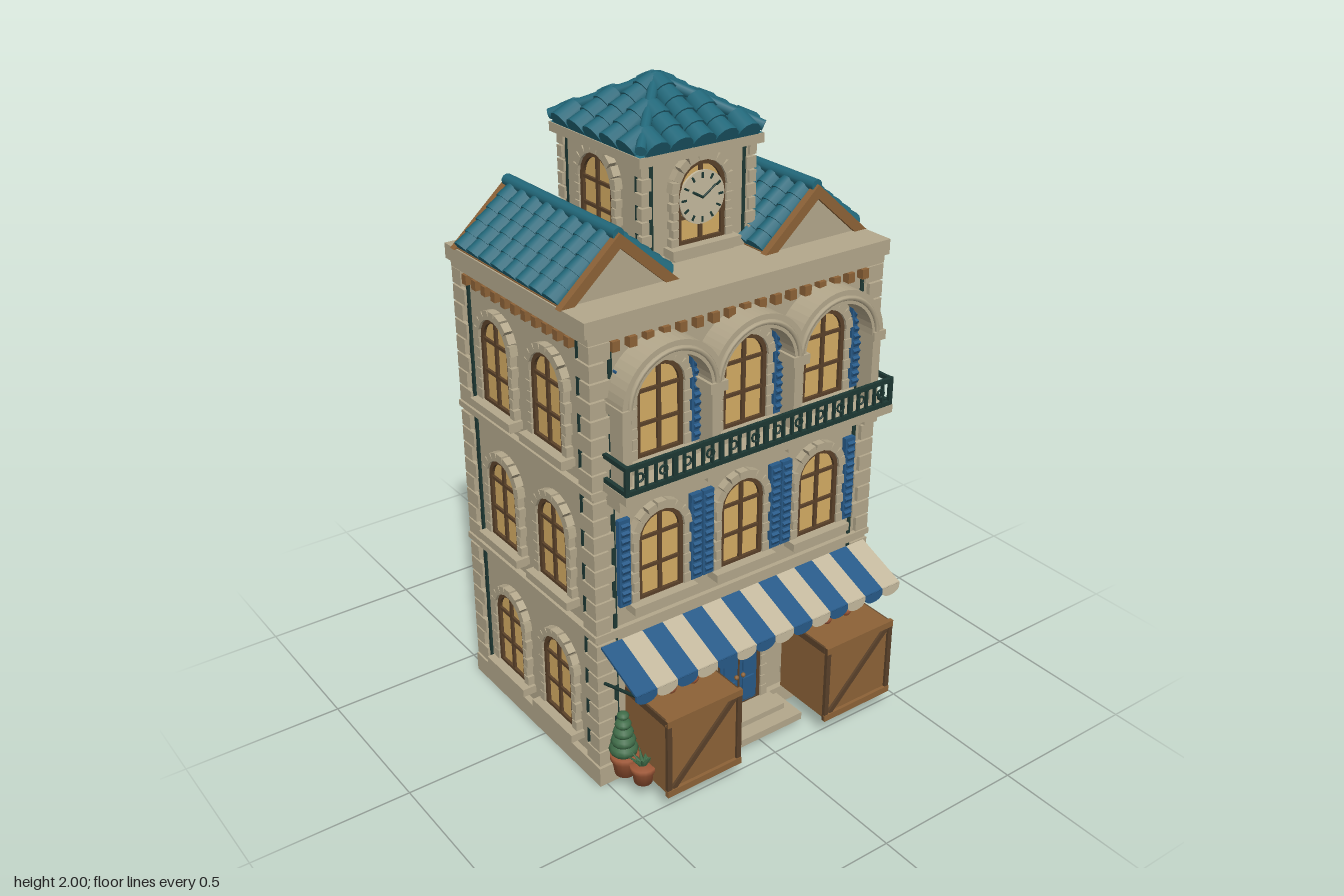
import * as THREE from 'three';

const mat = (name, color, side = THREE.FrontSide) => new THREE.MeshStandardMaterial({ name, color, side });
const M = {
  stone: mat('stone', 0xb3a78b), cream: mat('cream canvas', 0xc4b99e), teal: mat('teal tile', 0x22687a),
  wood: mat('warm wood', 0x8c6237), dark: mat('dark wood', 0x5a4129), glass: mat('lit glass', 0xd4ac63),
  blue: mat('blue paint', 0x275a88), iron: mat('dark green iron', 0x1d3833, THREE.DoubleSide),
  clay: mat('terracotta', 0x9a5535), leaf: mat('leaf green', 0x3f6c48),
};
const V = (x, y, z) => new THREE.Vector3(x, y, z);
const unitBox = new THREE.BoxGeometry(1, 1, 1);

function add(parent, name, geo, material, x = 0, y = 0, z = 0) {
  const m = new THREE.Mesh(geo, material);
  m.name = name;
  m.position.set(x, y, z);
  parent.add(m);
  return m;
}
function box(parent, name, material, w, h, d, x, y, z) {
  const m = add(parent, name, unitBox, material, x, y, z);
  m.scale.set(w, h, d);
  return m;
}
function sub(parent, name, x = 0, y = 0, z = 0, ry = 0) {
  const g = new THREE.Group();
  g.name = name;
  g.position.set(x, y, z);
  g.rotation.y = ry;
  parent.add(g);
  return g;
}
// Round bar between two points; r1 is the radius at b
function rod(parent, name, material, a, b, r0, r1 = r0, seg = 10) {
  const d = b.clone().sub(a);
  const m = add(parent, name, new THREE.CylinderGeometry(r1, r0, d.length(), seg), material);
  m.position.copy(a).addScaledVector(d, 0.5);
  m.quaternion.setFromUnitVectors(V(0, 1, 0), d.normalize());
  return m;
}
const extrude = (shape, depth) => new THREE.ExtrudeGeometry(shape, { depth, bevelEnabled: false, curveSegments: 10 });

function archPath(P, hw, s, y0 = 0) {
  const p = new P();
  p.moveTo(-hw, y0); p.lineTo(hw, y0); p.lineTo(hw, s);
  p.absarc(0, s, hw, 0, Math.PI, false);
  p.lineTo(-hw, y0);
  return p;
}
// Stone surround, glass and dark frame shared by windows and doors
function archOpening(g, hw, s) {
  add(g, 'glass', extrude(archPath(THREE.Shape, hw, s), 0.006), M.glass);
  const ring = archPath(THREE.Shape, hw + 0.004, s);
  ring.holes.push(archPath(THREE.Path, hw - 0.01, s, 0.01));
  add(g, 'frame', extrude(ring, 0.016), M.dark);
  for (let i = 0; i < 9; i++) {
    const a = (i + 0.5) * Math.PI / 9, r = hw + 0.016;
    box(g, 'archStone', M.stone, 0.026, 0.03, 0.05, r * Math.cos(a), s + r * Math.sin(a), 0).rotation.z = a;
  }
  for (const k of [-1, 1]) for (let i = 0; i < 6; i++) {
    const w = i % 2 ? 0.018 : 0.025;
    box(g, 'jambStone', M.stone, w, s / 6 - 0.003, 0.045, k * (hw + 0.003 + w / 2), (i + 0.5) * s / 6, 0);
  }
}
function archWindow(parent, x, y, hw = 0.076, s = 0.2, sillW = 0.225) {
  const g = sub(parent, 'window', x, y, 0);
  archOpening(g, hw, s);
  box(g, 'mullion', M.dark, 0.012, s + hw - 0.01, 0.014, 0, (s + hw) / 2, 0.007);
  for (const t of [0.5, 1]) box(g, 'glazingBar', M.dark, hw * 2 - 0.01, 0.01, 0.014, 0, s * t, 0.007);
  box(g, 'sill', M.stone, sillW, 0.026, 0.07, 0, -0.013, 0.012);
  box(g, 'sillApron', M.stone, sillW - 0.03, 0.014, 0.05, 0, -0.032, 0.008);
  return g;
}
function archDoor(parent, x, y) {
  const g = sub(parent, 'door', x, y, 0), hw = 0.083, s = 0.235;
  archOpening(g, hw, s);
  for (const k of [-1, 1]) {
    box(g, 'doorLeaf', M.blue, 0.07, 0.22, 0.016, k * 0.037, 0.115, 0.008);
    for (const py of [0.06, 0.165]) box(g, 'doorPanel', M.blue, 0.045, 0.075, 0.008, k * 0.037, py, 0.018);
    add(g, 'doorKnob', new THREE.SphereGeometry(0.008, 8, 6), M.wood, k * 0.013, 0.115, 0.024);
    rod(g, 'fanBar', M.blue, V(0, s, 0.01), V(k * 0.055, s + 0.055, 0.01), 0.005);
  }
  box(g, 'doorSeam', M.dark, 0.006, 0.225, 0.02, 0, 0.115, 0.008);
  box(g, 'transom', M.blue, 0.15, 0.014, 0.02, 0, s - 0.004, 0.008);
  rod(g, 'fanBar', M.blue, V(0, s, 0.01), V(0, s + 0.075, 0.01), 0.005);
}
function shutter(parent, x, y) {
  const g = sub(parent, 'shutter', x, y, 0.012);
  box(g, 'shutterBoard', M.blue, 0.038, 0.285, 0.016, 0, 0.1425, 0);
  for (let i = 0; i < 11; i++) box(g, 'louvre', M.blue, 0.026, 0.013, 0.012, 0, 0.02 + i * 0.0245, 0.009).rotation.x = 0.5;
}
// Overlapping barrel tiles from eave up to a higher point
function tileRun(parent, a, b, n, r) {
  for (let i = 0; i < n; i++)
    rod(parent, 'roofTile', M.teal, a.clone().lerp(b, i / n), a.clone().lerp(b, (i + 1) / n), r, r * 0.86, 12);
}
// Alternating corner stones with thin iron strips beside them
function quoins(parent, cx, cz, sx, sz, y0, y1, n, L, S) {
  const g = sub(parent, 'cornerStones'), h = (y1 - y0) / n;
  for (let i = 0; i < n; i++) {
    const wx = i % 2 ? L : S, wz = i % 2 ? S : L;
    box(g, 'quoin', M.stone, wx, h - 0.006, wz, cx - sx * wx / 2, y0 + (i + 0.5) * h, cz - sz * wz / 2);
  }
  box(g, 'cornerStrip', M.iron, 0.012, y1 - y0, 0.02, cx - sx * (L + 0.004), (y0 + y1) / 2, cz - sz * 0.018);
  box(g, 'cornerStrip', M.iron, 0.02, y1 - y0, 0.012, cx - sx * 0.018, (y0 + y1) / 2, cz - sz * (L + 0.004));
}
function slab(parent, name, material, x, z0, z1, y0, y1) {
  return box(parent, name, material, 2 * x, y1 - y0, z1 - z0, 0, (y0 + y1) / 2, (z0 + z1) / 2);
}
const FLOORS = [0.13, 0.605, 1.065], COLS = [-0.295, 0, 0.295];

function buildFacades(root) {
  const body = sub(root, 'building');
  slab(body, 'walls', M.stone, 0.505, -0.415, 0.295, 0, 1.48);
  slab(body, 'plinth', M.stone, 0.525, -0.425, 0.315, 0, 0.065);
  for (const y of [0.5, 0.97]) {
    slab(body, 'floorBand', M.stone, 0.525, -0.428, 0.31, y + 0.012, y + 0.032);
    slab(body, 'floorBand', M.stone, 0.515, -0.422, 0.304, y, y + 0.012);
  }
  slab(body, 'lowerCornice', M.stone, 0.522, -0.424, 0.308, 1.44, 1.468);
  slab(body, 'cornice', M.stone, 0.535, -0.43, 0.315, 1.465, 1.512);
  for (const sx of [-1, 1]) for (const [cz, sz] of [[0.308, 1], [-0.425, -1]])
    for (const [a, b] of [[0.065, 0.5], [0.532, 0.97], [1.002, 1.44]]) quoins(body, sx * 0.52, cz, sx, sz, a, b, 8, 0.068, 0.05);
  // Small wooden brackets below the cornice
  for (let i = 0; i < 17; i++) {
    const x = -0.44 + i * 0.055;
    box(body, 'bracket', M.wood, 0.024, 0.03, 0.03, x, 1.425, 0.305);
    box(body, 'bracket', M.wood, 0.024, 0.03, 0.03, x, 1.425, -0.423);
    if (i < 11) for (const s of [-1, 1]) box(body, 'bracket', M.wood, 0.03, 0.03, 0.024, s * 0.515, 1.425, -0.335 + i * 0.055);
  }
  const front = sub(root, 'frontFacade', 0, 0, 0.295), back = sub(root, 'backFacade', 0, 0, -0.415, Math.PI);
  FLOORS.forEach((y, f) => COLS.forEach(x => {
    if (f > 0 || x !== 0) archWindow(front, x, y);
    if (f > 0 || x !== 0.295) archWindow(back, x, y, 0.076, 0.2, 0.2);
    if (f > 0) for (const k of [-1, 1]) shutter(front, x + k * 0.126, y);
  }));
  archDoor(front, 0, 0.065);
  archDoor(back, 0.27, 0.065);
  for (const s of [-1, 1]) {
    const side = sub(root, s > 0 ? 'leftFacade' : 'rightFacade', s * 0.505, 0, 0, s * Math.PI / 2);
    for (const y of FLOORS) for (const z of [0.09, -0.19]) archWindow(side, -s * z, y);
  }
  box(root, 'frontStep', M.stone, 0.31, 0.025, 0.14, 0, 0.033, 0.37);
  box(root, 'frontStep', M.stone, 0.25, 0.02, 0.08, 0, 0.055, 0.35);
  box(root, 'backStep', M.stone, 0.265, 0.025, 0.13, -0.27, 0.03, -0.475);
  box(root, 'backStep', M.stone, 0.22, 0.02, 0.08, -0.27, 0.052, -0.45);
}
function buildBalcony(root) {
  const g = sub(root, 'balcony');
  // Three-arched loggia
  const s = new THREE.Shape(), R = 0.17, r = 0.128, y = 1.255, cut = Math.acos(0.1475 / R);
  s.moveTo(-0.465, y);
  COLS.forEach((c, i) => s.absarc(c, y, R, i ? Math.PI - cut : Math.PI, i < 2 ? cut : 0, true));
  for (const c of [...COLS].reverse()) { s.lineTo(c + r, y); s.absarc(c, y, r, 0, Math.PI, false); }
  s.closePath();
  add(g, 'archedHood', extrude(s, 0.085), M.stone, 0, 0, 0.295);
  for (const c of COLS) add(g, 'archMoulding', new THREE.TorusGeometry(0.146, 0.008, 6, 20, Math.PI), M.stone, c, y, 0.38);
  for (const x of [-0.4475, -0.1475, 0.1475, 0.4475]) {
    box(g, 'capital', M.stone, x * x > 0.1 ? 0.045 : 0.06, 0.03, 0.09, x, 1.25, 0.342);
    box(g, 'pier', M.stone, 0.03, 0.25, 0.06, x, 1.125, 0.345);
    box(g, 'corbel', M.stone, 0.05, 0.05, 0.07, x, 0.98, 0.335);
  }
  box(g, 'balconyFloor', M.stone, 0.97, 0.026, 0.12, 0, 1.015, 0.36);
  // Iron railing
  for (const ry of [1.035, 1.11]) {
    box(g, 'rail', M.iron, 0.965, 0.014, 0.012, 0, ry, 0.413);
    for (const k of [-1, 1]) box(g, 'rail', M.iron, 0.012, 0.014, 0.11, k * 0.477, ry, 0.36);
  }
  for (let i = 0; i < 31; i++) box(g, 'baluster', M.iron, i % 5 ? 0.007 : 0.014, 0.09, 0.01, -0.477 + i * 0.0318, 1.073, 0.413);
  for (let i = 0; i < 12; i++) add(g, 'scroll', new THREE.TorusGeometry(0.013, 0.0035, 5, 10), M.iron, -0.437 + i * 0.0795, 1.075, 0.415);
}
function buildAwning(root) {
  const g = sub(root, 'awning'), w = 1.01 / 14;
  for (let i = 0; i < 14; i++) {
    const x = -0.505 + (i + 0.5) * w, m = i % 2 ? M.cream : M.blue;
    box(g, 'awningStripe', m, w, 0.008, 0.19, x, 0.455, 0.395).rotation.x = 0.38;
    const s = new THREE.Shape();
    s.moveTo(-w / 2, 0.425); s.lineTo(-w / 2, 0.405);
    s.absellipse(0, 0.41, w / 2, 0.022, Math.PI, 2 * Math.PI, false);
    s.lineTo(w / 2, 0.425);
    add(g, 'awningScallop', extrude(s, 0.007), m, x, 0, 0.477);
  }
  for (const k of [-1, 1]) {
    rod(g, 'awningBrace', M.iron, V(k * 0.495, 0.36, 0.3), V(k * 0.495, 0.415, 0.475), 0.005);
    const l = sub(g, 'lantern', k * 0.15, 0.38, 0.35);
    box(l, 'lanternGlass', M.glass, 0.03, 0.045, 0.03, 0, 0, 0);
    for (const y of [-0.026, 0.026]) box(l, 'lanternCap', M.iron, 0.04, 0.01, 0.04, 0, y, 0);
    box(l, 'lanternArm', M.iron, 0.01, 0.01, 0.06, 0, 0.036, -0.03);
  }
}
function buildStreetThings(root) {
  for (const k of [-1, 1]) {
    // Crate with braced front
    const c = sub(root, 'crate', k * 0.3, 0.2, 0.42);
    box(c, 'crateBody', M.wood, 0.255, 0.265, 0.215, 0, 0, 0);
    for (const e of [-1, 1]) {
      box(c, 'crateRail', M.wood, 0.27, 0.022, 0.014, 0, e * 0.125, 0.111);
      box(c, 'crateStile', M.dark, 0.016, 0.27, 0.012, e * 0.127, 0, 0.11);
      box(c, 'crateSideRail', M.dark, 0.008, 0.022, 0.2, e * 0.129, 0.12, 0);
    }
    box(c, 'crateBrace', M.dark, 0.018, 0.32, 0.012, 0, 0, 0.109).rotation.z = -0.78;
    for (let i = 0; i < 5; i++) add(c, 'fruit', new THREE.SphereGeometry(0.018, 10, 8), M.clay, -0.08 + i * 0.04, 0.148, i % 2 ? 0 : -0.03);
    // Potted topiary and a low leafy pot
    const pot = (x, z, r, h) => {
      const pts = [[0, 0], [r * 0.7, 0], [r * 0.88, h * 0.75], [r, h * 0.75], [r, h], [0, h]];
      add(root, 'pot', new THREE.LatheGeometry(pts.map(p => new THREE.Vector2(...p)), 16), M.clay, x, 0.06, z);
    };
    pot(k * 0.465, 0.36, 0.045, 0.07);
    for (let i = 0; i < 5; i++) {
      const t = add(root, 'topiaryTier', new THREE.SphereGeometry(0.045 - i * 0.0065, 12, 8), M.leaf, k * 0.468, 0.15 + i * 0.029, 0.358);
      t.scale.y = 0.65;
    }
    pot(k * 0.445, 0.425, 0.04, 0.06);
    for (let i = 0; i < 9; i++) {
      const a = i * Math.PI * 2 / 9, p = V(k * 0.445, 0.115, 0.425);
      rod(root, 'leafBlade', M.leaf, p, p.clone().add(V(0.045 * Math.cos(a), 0.045, 0.03 * Math.sin(a))), 0.009, 0.001, 5);
    }
  }
}
function buildGables(root) {
  for (const k of [-1, 1]) {
    const g = sub(root, 'gableRoof', k * 0.345, 0, -0.09);
    const tri = (w, y0, y1) => [[-w, y0], [w, y0], [0, y1]].map(p => new THREE.Vector2(...p));
    add(g, 'gableWall', extrude(new THREE.Shape(tri(0.175, 1.505, 1.66)), 0.57), M.stone, 0, 0, -0.285);
    const barge = new THREE.Shape([[-0.195, 1.51], [-0.15, 1.51], [0, 1.643], [0.15, 1.51], [0.195, 1.51], [0, 1.685]].map(p => new THREE.Vector2(...p)));
    for (const z of [-0.297, 0.273]) add(g, 'bargeboard', extrude(barge, 0.024), M.wood, 0, 0, z);
    for (const s of [-1, 1]) {
      box(g, 'eaveBeam', M.wood, 0.02, 0.02, 0.57, s * 0.175, 1.505, 0);
      for (let i = 0; i < 8; i++) {
        const z = -0.238 + i * 0.068;
        tileRun(g, V(s * 0.182, 1.515, z), V(0, 1.66, z), 5, 0.036);
      }
    }
    rod(g, 'ridgeTile', M.teal, V(0, 1.68, -0.288), V(0, 1.68, 0.288), 0.019);
  }
}
function buildTower(root) {
  const g = sub(root, 'clockTower', 0, 0, -0.118);
  box(g, 'towerWalls', M.stone, 0.38, 0.32, 0.41, 0, 1.66, 0);
  box(g, 'towerCornice', M.stone, 0.43, 0.028, 0.46, 0, 1.825, 0);
  box(g, 'towerBase', M.stone, 0.4, 0.03, 0.43, 0, 1.52, 0);
  for (const sx of [-1, 1]) for (const sz of [-1, 1]) quoins(g, sx * 0.2, sz * 0.215, sx, sz, 1.53, 1.815, 7, 0.034, 0.024);
  for (let i = 0; i < 4; i++) {
    const f = sub(g, 'towerFace', 0, 0, 0, i * Math.PI / 2);
    archWindow(sub(f, 'towerWindow', 0, 0, i % 2 ? 0.19 : 0.205), 0, 1.56, 0.08, 0.155, 0.24);
    const eave = i % 2 ? 0.215 : 0.232, step = i % 2 ? 0.083 : 0.078, other = i % 2 ? 0.232 : 0.215;
    for (let j = -2; j <= 2; j++) {
      const t = Math.abs(j * step) / other, y = q => 1.97 - 0.125 * q;
      tileRun(f, V(j * step, y(1), eave), V(j * step, y(t), eave * t), Math.max(1, Math.round(5 * (1 - t))), 0.04);
    }
  }
  const cap = add(g, 'roofCore', new THREE.ConeGeometry(0.3, 0.135, 4, 1).rotateY(Math.PI / 4), M.teal, 0, 1.907, 0);
  cap.scale.z = 1.07;
  for (const sx of [-1, 1]) for (const sz of [-1, 1])
    rod(g, 'hipTile', M.teal, V(sx * 0.212, 1.86, sz * 0.23), V(0, 1.98, 0), 0.016);
  add(g, 'finial', new THREE.SphereGeometry(0.022, 10, 8), M.teal, 0, 1.978, 0);
  // Clock
  const c = sub(g, 'clock', 0, 1.69, 0.221);
  add(c, 'clockFace', new THREE.CylinderGeometry(0.078, 0.078, 0.008, 32).rotateX(Math.PI / 2), M.cream);
  for (let i = 0; i < 12; i++) {
    const a = i * Math.PI / 6;
    box(c, 'hourMark', M.iron, 0.006, 0.016, 0.004, 0.064 * Math.sin(a), 0.064 * Math.cos(a), 0.005).rotation.z = -a;
  }
  rod(c, 'hourHand', M.iron, V(0, 0, 0.007), V(-0.034, 0.02, 0.007), 0.004);
  rod(c, 'minuteHand', M.iron, V(0, 0, 0.007), V(0.045, 0.03, 0.007), 0.003);
}

export function createModel() {
  const root = new THREE.Group();
  root.name = 'townhouse';
  buildFacades(root);
  buildBalcony(root);
  buildAwning(root);
  buildStreetThings(root);
  buildGables(root);
  buildTower(root);
  return root;
}
